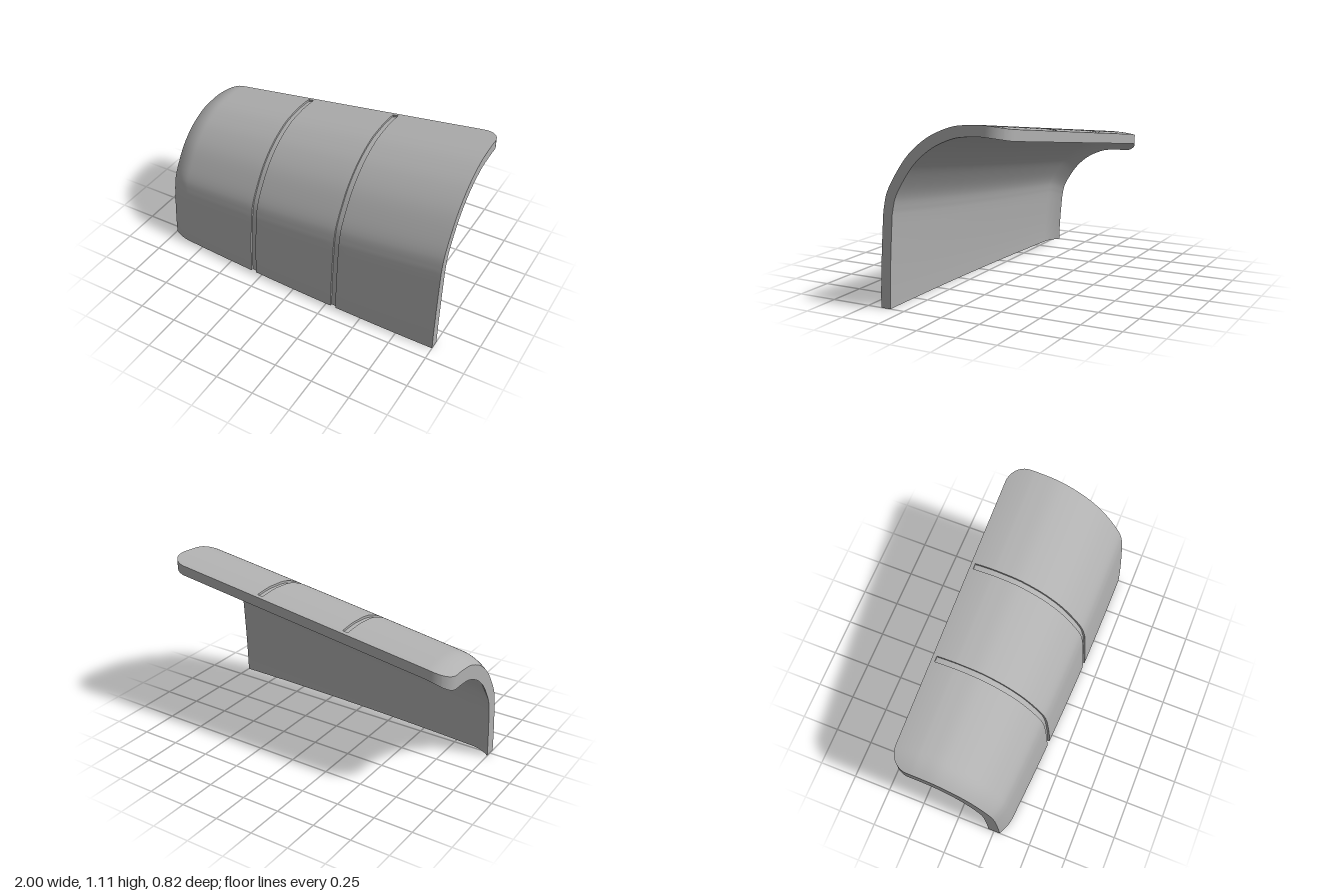
import * as THREE from 'three';
import { mergeGeometries } from 'three/addons/utils/BufferGeometryUtils.js';

const CROWN_Z = -0.25, BACK_Z = -0.41, GROOVE_END = -0.385;
const CORNER = 0.12; // corner radius in plan
const GROOVE = 0.22; // groove depth as a share of the shell thickness
const grooves = [[-0.332, -0.296], [0.284, 0.32]];
const lerp = THREE.MathUtils.lerp;
const steps = (a, b, n) => Array.from({ length: n + 1 }, (_, i) => lerp(a, b, i / n));

// Profile rows, from the bottom edge over the crown to the back edge
const arc = new THREE.CatmullRomCurve3([
  [0.625, 0.53], [0.6, 0.425], [0.53, 0.3], [0.446, 0.19],
  [0.34, 0.101], [0.25, 0.052], [0.145, 0.015], [0, 0],
].map(([dz, drop]) => new THREE.Vector3(dz, drop, 0)));
const rows = [
  ...steps(0, 1, 8).slice(0, -1).map(f => ({ f })),
  ...arc.getPoints(28).map(p => ({ dz: p.x, drop: p.y })),
  ...[-0.27, ...steps(0, Math.PI / 2, 10).map(a => -0.29 - CORNER * Math.sin(a)), GROOVE_END]
    .sort((a, b) => b - a).map(z => ({ z })),
];
const last = rows.length - 1;
const grooveRow = rows.findIndex(r => r.z === GROOVE_END);
const rowRange = (a, b) => Array.from({ length: b - a + 1 }, (_, i) => a + i);
const allRows = rowRange(0, last);

// Columns along the length, denser where the end rolls in
const columns = [
  ...steps(-1, -0.85, 10), ...steps(-0.8, grooves[0][0], 8), ...steps(grooves[0][1], grooves[1][0], 10),
  ...steps(grooves[1][1], 0.8, 8), ...steps(0.85, 1, 4),
];
const columnRange = (a, b) => columns.filter(x => x >= a && x <= b);

// Point on the shell: t = 0 is the outer skin, t = 1 the inner skin
function shellPoint(x, row, t) {
  const r = rows[row];
  if (r.z !== undefined && Math.abs(x) > 0.8) {
    const q = Math.max(0, -0.29 - r.z);
    const limit = 1 - CORNER + Math.sqrt(Math.max(0, CORNER * CORNER - q * q));
    x = Math.sign(x) * lerp(0.8, limit, (Math.abs(x) - 0.8) / 0.2);
  }
  const roll = (Math.max(0, -0.87 - x) / 0.13) ** 2;
  const height = 0.973 + 0.137 * x - 0.065 * t - roll * lerp(0.041, 0.066, t);
  const front = 0.408 - 0.0213 * (1 - x) ** 2 - 0.064 * t - roll * lerp(0.033, 0.048, t);
  const s = (front - CROWN_Z) / 0.658;
  if (r.f !== undefined) {
    return [x, (height - 0.53 * s) * r.f, CROWN_Z + s * (0.658 - 0.033 * r.f ** 1.5)];
  }
  if (r.dz !== undefined) return [x, height - r.drop * s, CROWN_Z + r.dz * s];
  return [x, height - 0.013 * ((CROWN_Z - r.z) / (CROWN_Z - BACK_Z)) ** 2, r.z];
}

// Smooth grid surface over two parameter lists
function patch(us, vs, fn) {
  const positions = [], index = [], n = vs.length;
  us.forEach(u => vs.forEach(v => positions.push(...fn(u, v))));
  for (let i = 0; i < us.length - 1; i++) {
    for (let j = 0; j < n - 1; j++) {
      const a = i * n + j, b = a + n;
      index.push(a, b, a + 1, b, b + 1, a + 1);
    }
  }
  const g = new THREE.BufferGeometry();
  g.setAttribute('position', new THREE.Float32BufferAttribute(positions, 3));
  g.setIndex(index);
  g.computeVertexNormals();
  return g;
}
const skin = (us, vs, t) => patch(us, vs, (x, row) => shellPoint(x, row, t));

export function createModel() {
  const group = new THREE.Group();
  const grey = new THREE.MeshStandardMaterial({ color: 0xb0b0b0 });
  grey.name = 'plain grey';
  const add = (name, parts) => {
    const mesh = new THREE.Mesh(mergeGeometries(parts), grey);
    mesh.name = name;
    group.add(mesh);
  };

  // Outer skin: three panels, joined behind the groove ends
  const panels = [[-1, grooves[0][0]], [grooves[0][1], grooves[1][0]], [grooves[1][1], 1]];
  add('outerPanels', [
    ...panels.map(([a, b]) => skin(columnRange(a, b), allRows, 0)),
    ...grooves.map(g => skin(g, rowRange(grooveRow, last), 0)),
  ]);

  // Groove floors, side walls and end walls
  const low = rowRange(0, grooveRow);
  add('grooves', grooves.flatMap(([a, b]) => [
    skin([a, b], low, GROOVE),
    patch([0, GROOVE], low, (t, row) => shellPoint(a, row, t)),
    patch([GROOVE, 0], low, (t, row) => shellPoint(b, row, t)),
    patch([a, b], [GROOVE, 0], (x, t) => shellPoint(x, grooveRow, t)),
  ]));

  // Inner skin
  add('innerSkin', [skin([...columns].reverse(), allRows, 1)]);

  // Rim: up the left end, along the back, down the right end
  const path = [
    ...allRows.map(row => [1, row]),
    ...[...columns].reverse().slice(1, -1).map(x => [x, last]),
    ...[...allRows].reverse().map(row => [-1, row]),
  ];
  add('rim', [patch([0, 1], path, (t, [x, row]) => shellPoint(x, row, t))]);

  // Flat bottom edge, notched at the grooves
  add('bottomEdge', [
    ...panels.map(([a, b]) => patch(columnRange(a, b), [1, 0], (x, t) => shellPoint(x, 0, t))),
    ...grooves.map(g => patch(g, [1, GROOVE], (x, t) => shellPoint(x, 0, t))),
  ]);
  return group;
}
